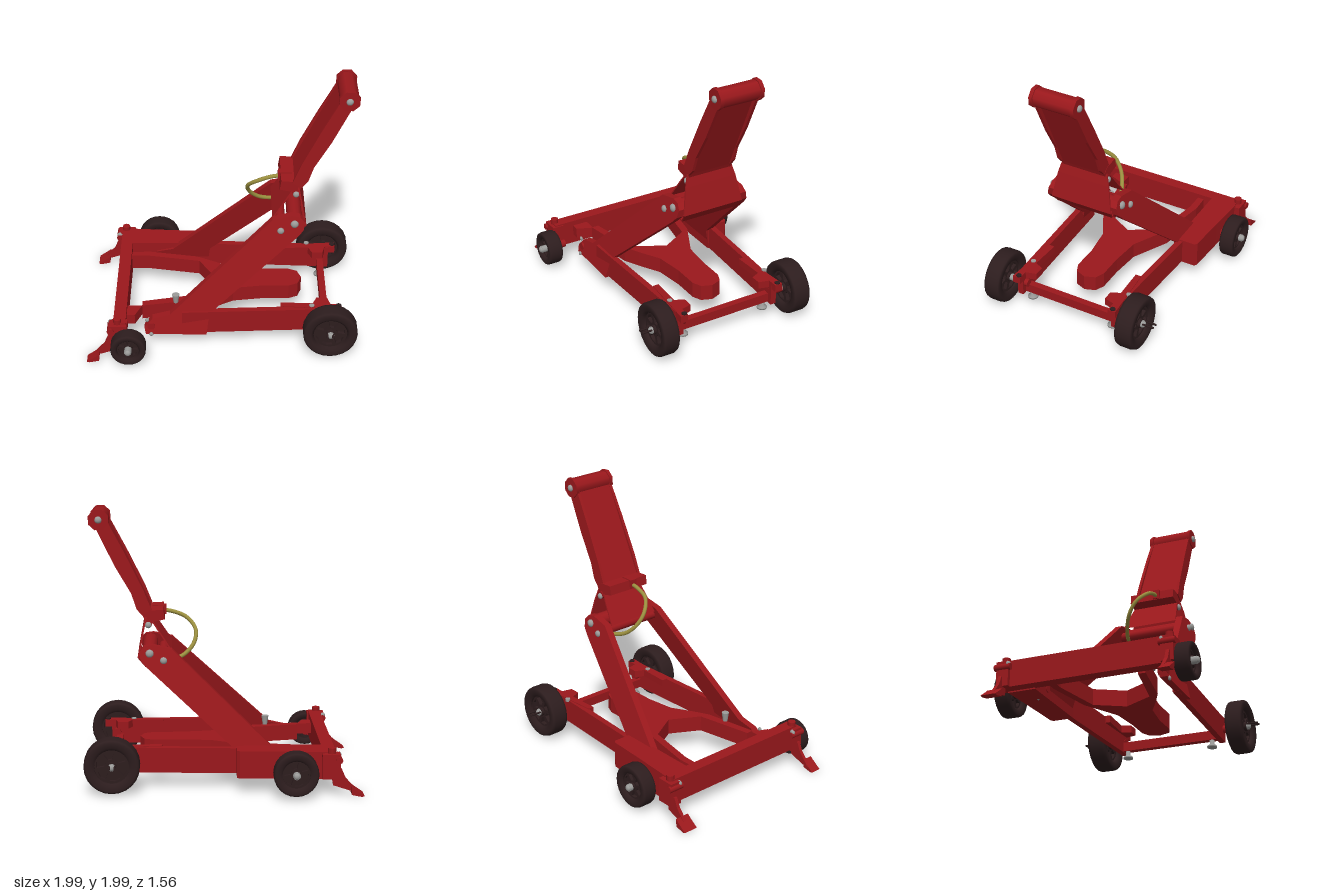
import * as THREE from 'three';

export function createModel() {
  const root = new THREE.Group();
  root.name = 'wheeledLiftingFrame';
  const mat = (name, color, opts = {}) => {
    const m = new THREE.MeshStandardMaterial({ color, ...opts });
    m.name = name;
    return m;
  };
  const red = mat('redPaint', 0x9b181c, { side: THREE.DoubleSide });
  const rubber = mat('darkRubber', 0x2d1d1e);
  const steel = mat('steel', 0x9c9c9a);
  const hoseMat = mat('yellowHose', 0x9c9040);

  const add = (name, geo, m, pos = [0, 0, 0], parent = root) => {
    const mesh = new THREE.Mesh(geo, m);
    mesh.name = name;
    mesh.position.set(...pos);
    parent.add(mesh);
    return mesh;
  };
  // box given by its min and max corners
  const box = (name, a, b, parent = root) => add(name,
    new THREE.BoxGeometry(...a.map((v, i) => b[i] - v)), red, a.map((v, i) => (v + b[i]) / 2), parent);
  const shape = (pts) => new THREE.Shape(pts.map((p) => new THREE.Vector2(...p)));
  // side outline in x,y given a thickness; its centre z follows zAt(x, y)
  const sidePlate = (name, pts, thick, zAt, parent = root) => {
    const g = new THREE.ExtrudeGeometry(shape(pts), { depth: thick, bevelEnabled: false });
    const p = g.attributes.position;
    for (let i = 0; i < p.count; i++) p.setZ(i, p.getZ(i) - thick / 2 + zAt(p.getX(i), p.getY(i)));
    g.computeVertexNormals();
    return add(name, g, red, [0, 0, 0], parent);
  };
  // plan outline in x,z raised from y0 to y1
  const planPlate = (name, pts, y0, y1) => {
    const g = new THREE.ExtrudeGeometry(shape(pts.map(([x, z]) => [x, -z])), { depth: y1 - y0, bevelEnabled: false });
    g.rotateX(-Math.PI / 2);
    return add(name, g, red, [0, y0, 0]);
  };
  // cylinder lying along z
  const pin = (name, x, y, z0, z1, r, m = red, sides = 12, parent = root) => {
    const g = new THREE.CylinderGeometry(r, r, Math.abs(z1 - z0), sides);
    g.rotateX(Math.PI / 2);
    return add(name, g, m, [x, y, (z0 + z1) / 2], parent);
  };
  // domed bolt head pointing along z
  const bolt = (x, y, z, r, parent = root) => {
    const b = add('bolt', new THREE.SphereGeometry(r, 10, 8), steel, [x, y, z], parent);
    b.scale.z = 0.7;
  };
  const lerp = (a, za, b, zb) => (v) => za + ((v - a) / (b - a)) * (zb - za);

  // ---- wheels ----
  const wheel = (name, x, y, z, r, w, capOut, capIn) => {
    const g = new THREE.Group();
    g.name = name;
    g.position.set(x, y, z);
    root.add(g);
    const h = w / 2, ri = r * 0.62;
    const profile = [[ri, -h * 0.7], [r * 0.72, -h * 0.95], [r * 0.9, -h], [r * 0.97, -h * 0.9], [r, -h * 0.65],
      [r, h * 0.65], [r * 0.97, h * 0.9], [r * 0.9, h], [r * 0.72, h * 0.95], [ri, h * 0.7], [ri, -h * 0.7]];
    const tyre = new THREE.LatheGeometry(profile.map((p) => new THREE.Vector2(...p)), 24);
    tyre.rotateX(Math.PI / 2);
    add('tyre', tyre, rubber, [0, 0, 0], g);
    // spoked disc with openings in front of a closed core
    const disc = new THREE.Shape().absarc(0, 0, ri * 1.02, 0, Math.PI * 2);
    for (let i = 0; i < 6; i++) {
      const a = (i / 6) * Math.PI * 2 + 0.3;
      const pts = [[0.42, -0.28], [0.86, -0.38], [0.9, 0], [0.86, 0.38], [0.42, 0.28]]
        .map(([k, t]) => new THREE.Vector2(Math.cos(a + t) * ri * k, Math.sin(a + t) * ri * k));
      disc.holes.push(new THREE.Path(pts));
    }
    const dg = new THREE.ExtrudeGeometry(disc, { depth: h, bevelEnabled: false, curveSegments: 20 });
    add('spokes', dg, rubber, [0, 0, -h * 0.5], g);
    pin('wheelCore', 0, 0, -0.006, 0.006, ri, rubber, 20, g);
    pin('hub', 0, 0, -h * 0.8, h * 0.8, ri * 0.28, rubber, 14, g);
    const s = Math.sign(z);
    pin('hubCap', 0, 0, s * h * 0.5, s * (h + capOut), 0.027, steel, 10, g);
    bolt(0, 0, s * (h + capOut), 0.024, g);
    pin('axleNut', 0, 0, -s * (h + capIn), -s * h * 0.5, 0.026, steel, 10, g);
  };
  wheel('largeWheelFront', 0.79, 0.215, 0.568, 0.2, 0.13, 0, 0.025);
  wheel('largeWheelBack', 0.79, 0.215, -0.532, 0.2, 0.14, 0, 0.02);
  wheel('smallWheelFront', -0.69, 0.16, 0.69, 0.13, 0.115, 0.015, 0.01);
  wheel('smallWheelBack', -0.51, 0.19, -0.695, 0.16, 0.115, 0.015, 0.02);

  // ---- base frame ----
  box('endBeam', [-0.8, 0.13, -0.6], [-0.71, 0.32, 0.62]);
  planPlate('wideRail', [[-0.72, -0.605], [-0.42, -0.585], [-0.12, -0.57], [-0.1, -0.555], [-0.1, -0.4], [-0.72, -0.4]], 0.12, 0.32);
  const railPts = (x0) => [[x0, 0.125], [0.83, 0.125], [0.83, 0.31], [x0, 0.31]];
  sidePlate('railBack', railPts(-0.15), 0.045, lerp(-0.1, -0.43, 0.85, -0.38));
  sidePlate('railFront', railPts(-0.3), 0.045, lerp(-0.1, 0.45, 0.85, 0.41));
  planPlate('beamTab', [[-0.72, 0.47], [-0.65, 0.47], [-0.6, 0.35], [-0.72, 0.35]], 0.2, 0.28);
  box('frontAxleBar', [0.74, 0.13, -0.37], [0.79, 0.2, 0.4]);

  for (const s of [-1, 1]) {
    const off = s > 0 ? 0.02 : 0;
    // axle housings, stubs and stabiliser feet
    planPlate('railShoe', [[0.43, s * 0.34 + off], [0.67, s * 0.35 + off], [0.7, s * 0.28 + off], [0.78, s * 0.28 + off],
      [0.8, s * 0.36 + off], [0.88, s * 0.36 + off], [0.88, s * 0.42 + off], [0.43, s * 0.385 + off]], 0.26, 0.315);
    pin('largeAxle', 0.79, 0.215, s * 0.36, s * 0.47, 0.03);
    for (const dx of [-0.024, 0.016]) pin('pinProng', 0.79 + dx, 0.225, s * 0.6, s * 0.69 + off, 0.008, rubber, 6);
    const foot = [[0, 0], [0.038, 0], [0.038, 0.012], [0.018, 0.028], [0.018, 0.07], [0, 0.07]];
    add('stabiliserFoot', new THREE.LatheGeometry(foot.map((p) => new THREE.Vector2(...p)), 12), steel, [0.76, 0.072, s * 0.33 + off]);
    add('shoeBolt', new THREE.CylinderGeometry(0.02, 0.02, 0.02, 8), steel, [0.66, 0.312, s * 0.41 - off / 2]);
    add('shoeCap', new THREE.CylinderGeometry(0.02, 0.02, 0.012, 8), rubber, [0.86, 0.318, s * 0.39 + off / 2]);

    // end brackets with sloping foot pedals
    box('wheelBracket', [-0.83, 0.13, s * 0.6 - 0.045], [-0.7, 0.31, s * 0.6 + 0.045]);
    add('bracketPost', new THREE.CylinderGeometry(0.03, 0.03, 0.05, 8), red, [-0.77, 0.325, s * 0.6]);
    bolt(-0.82, 0.29, s * 0.56, 0.022);
    pin('pedalPivot', -0.82, 0.27, s * 0.54, s * 0.66, 0.025, red, 8);
    sidePlate('pedalLink', [[-0.95, 0.04], [-0.9, 0.04], [-0.78, 0.08], [-0.76, 0.2], [-0.84, 0.2], [-0.87, 0.13]], 0.025, () => s * 0.61);
    sidePlate('pedal', [[-1, 0.01], [-0.98, 0.005], [-0.91, 0.02], [-0.905, 0.08], [-0.93, 0.06]], s > 0 ? 0.08 : 0.11, () => s * (s > 0 ? 0.64 : 0.61));
  }
  pin('smallAxleFront', -0.69, 0.16, 0.56, 0.64, 0.03);
  pin('smallAxleBack', -0.51, 0.19, -0.64, -0.56, 0.03);

  // ---- forked inner frame ----
  planPlate('forkedFrame', [[-0.71, -0.33], [-0.57, -0.335], [-0.2, -0.27], [-0.08, -0.21], [0.08, -0.13], [0.3, -0.11], [0.5, -0.11],
    [0.57, -0.08], [0.6, 0], [0.57, 0.08], [0.5, 0.11], [0.3, 0.11], [0.08, 0.14], [-0.08, 0.23], [-0.2, 0.29], [-0.6, 0.36],
    [-0.6, 0.305], [-0.18, 0.22], [-0.06, 0], [-0.18, -0.21], [-0.57, -0.28], [-0.71, -0.28]], 0.165, 0.285);
  add('frameBolt', new THREE.CylinderGeometry(0.028, 0.018, 0.07, 10), steel, [-0.35, 0.32, 0.315]);

  // ---- raised lift arms, leaning inward as they rise ----
  const armPts = [[-0.57, 0.13], [-0.12, 0.125], [-0.1, 0.285], [0.54, 0.87], [0.585, 0.92], [0.595, 0.98], [0.56, 1.02],
    [0.5, 1.03], [0.36, 1.0], [-0.39, 0.28], [-0.52, 0.25], [-0.58, 0.18]];
  for (const s of [-1, 1]) {
    const zAt = lerp(0.13, s > 0 ? 0.476 : -0.44, 0.97, s > 0 ? 0.262 : -0.248);
    sidePlate(s > 0 ? 'liftArmFront' : 'liftArmBack', armPts, 0.052, (x, y) => zAt(y));
    pin('armBasePin', -0.53, 0.19, zAt(0.19) - 0.033, zAt(0.19) + 0.033, 0.03, red, 10);
    [[0.52, 0.97, 0.03], [0.42, 0.92, 0.026], [-0.53, 0.13, 0.016], [-0.56, 0.24, 0.016]]
      .forEach(([x, y, r]) => bolt(x, y, zAt(y) + s * 0.028, r));
  }
  pin('headPivot', 0.52, 0.97, -0.24, 0.25, 0.055);
  pin('headCrossTube', 0.42, 0.93, -0.25, 0.26, 0.035);

  // ---- hinge hood: thin sheets lofted across z from rows of [x, y, half width] ----
  const sheet = (name, rows) => {
    const pos = [], idx = [], t = 0.006;
    rows.forEach(([x, y, w], i) => {
      pos.push(x - t, y, -w, x - t, y, w, x + t, y, w, x + t, y, -w);
      for (let k = 0; i && k < 4; k++) {
        const a = 4 * i - 4 + k, b = 4 * i - 4 + ((k + 1) % 4);
        idx.push(a, a + 4, b, b, a + 4, b + 4);
      }
    });
    const g = new THREE.BufferGeometry();
    g.setAttribute('position', new THREE.Float32BufferAttribute(pos, 3));
    g.setIndex(idx);
    const flat = g.toNonIndexed();
    flat.computeVertexNormals();
    add(name, flat, red).position.z = 0.01;
  };
  sheet('hoodFrontSheet', [[0.545, 1.22, 0.18], [0.565, 1.13, 0.205], [0.602, 0.93, 0.242], [0.548, 0.86, 0.222], [0.5, 0.88, 0.21]]);
  sheet('hoodBackSheet', [[0.515, 1.21, 0.17], [0.45, 1.11, 0.19], [0.365, 0.98, 0.21]]);
  sidePlate('hingeBlock', [[0.41, 1.2], [0.545, 1.17], [0.57, 1.23], [0.52, 1.265], [0.42, 1.27]], 0.35, () => 0.01);
  pin('hingePin', 0.53, 1.17, -0.17, 0.185, 0.03);
  bolt(0.53, 1.16, 0.187, 0.024);
  bolt(0.53, 1.16, -0.172, 0.024);

  // ---- upper arm: web between two flanges, with a rounded end ----
  const upper = new THREE.Group();
  upper.name = 'upperArm';
  upper.position.set(0.53, 1.18, 0.015);
  upper.rotation.z = -0.442;
  root.add(upper);
  const flange = [[-0.06, 0.04], [0.015, 0.03], [0.035, 0.1], [0.02, 0.22], [0.04, 0.45], [0.045, 0.82], [-0.05, 0.82], [-0.065, 0.5], [-0.07, 0.2]];
  for (const s of [-1, 1]) {
    const f = sidePlate('armFlange', flange, 0.022, () => 0, upper);
    f.position.set(0, 0.02, s * 0.168);
    f.rotation.x = -s * 0.022;
    pin('endPlate', 0, 0.82, s * 0.145, s * 0.172, 0.078, red, 8, upper);
    bolt(0, 0.82, s * 0.175, 0.026, upper);
  }
  box('armWeb', [-0.05, 0.05, -0.16], [0.015, 0.8, 0.16], upper);
  pin('endRoller', 0, 0.82, -0.15, 0.15, 0.07, red, 8, upper);

  // ---- hydraulic hose ----
  const path = new THREE.CatmullRomCurve3([[0.45, 1.235, 0.045], [0.36, 1.225, 0.045], [0.25, 1.18, 0.035], [0.185, 1.1, -0.03],
    [0.2, 1.01, -0.09], [0.28, 0.93, -0.14], [0.4, 0.9, -0.18], [0.48, 0.92, -0.195]].map((p) => new THREE.Vector3(...p)));
  add('hose', new THREE.TubeGeometry(path, 40, 0.015, 8), hoseMat);
  box('hoseFitting', [0.4, 1.205, 0.02], [0.5, 1.275, 0.075]);

  return root;
}
